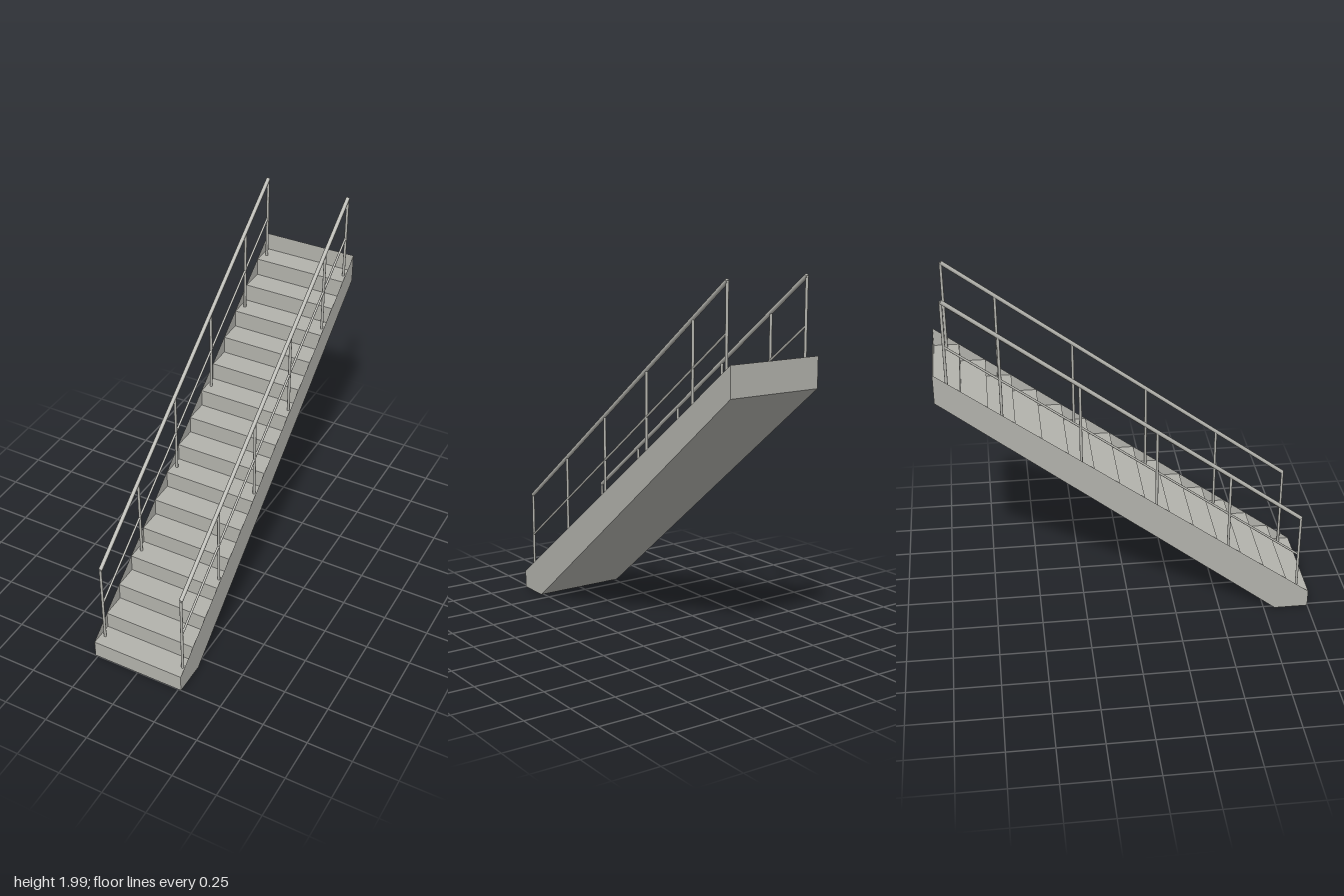
import * as THREE from 'three';

const HALF_W = 0.266;          // half width of the flight
const STEPS = 15, RISE = 0.1, RUN = 2 / STEPS;
const RAIL_X = 0.24;

// Underside corners shared by the step core and the side cheeks, as (z, y)
const UNDERSIDE = [[-1, 1.44], [0.813, 0], [1, 0]];

function shapeFrom(points) {
  return new THREE.Shape(points.map(([z, y]) => new THREE.Vector2(z, y)));
}

export function createModel() {
  const model = new THREE.Group();
  model.name = 'staircase';
  const concrete = new THREE.MeshStandardMaterial({ color: 0xb2b2ac, side: THREE.DoubleSide });
  concrete.name = 'warm grey';

  function add(parent, geometry, name) {
    const mesh = new THREE.Mesh(geometry, concrete);
    mesh.name = name;
    parent.add(mesh);
    return mesh;
  }

  // Round bar between two points
  function bar(parent, a, b, radius, name) {
    const dir = b.clone().sub(a);
    const mesh = add(parent, new THREE.CylinderGeometry(radius, radius, dir.length(), 12), name);
    mesh.position.copy(a).add(b).multiplyScalar(0.5);
    mesh.quaternion.setFromUnitVectors(new THREE.Vector3(0, 1, 0), dir.normalize());
  }

  // Solid flight with sawtooth top
  const profile = [...UNDERSIDE];
  for (let k = 0; k < STEPS; k++) {
    const y = (k + 1) * RISE;
    profile.push([1 - k * RUN, y], [1 - (k + 1) * RUN, y]);
  }
  const core = new THREE.ExtrudeGeometry(shapeFrom(profile), { depth: 2 * HALF_W - 0.002, bevelEnabled: false });
  core.rotateY(-Math.PI / 2).translate(HALF_W - 0.001, 0, 0);
  add(model, core, 'steps');

  // Last riser, closing the top end
  add(model, new THREE.PlaneGeometry(2 * HALF_W, RISE), 'topRiser').position.set(0, 1.55, -1);

  for (const side of [1, -1]) {
    const sideName = side > 0 ? 'left' : 'right';

    // Thin cheek running along the step noses
    const cheek = new THREE.ShapeGeometry(shapeFrom([...UNDERSIDE, [1, RISE], [-1, 1.6]]));
    cheek.rotateY(side * Math.PI / 2);
    if (side > 0) cheek.scale(1, 1, -1);
    // keep the faces pointing outward after the mirror
    if (side > 0) {
      const idx = cheek.index;
      for (let i = 0; i < idx.count; i += 3) {
        const t = idx.getX(i);
        idx.setX(i, idx.getX(i + 1));
        idx.setX(i + 1, t);
      }
    }
    cheek.computeVertexNormals();
    add(model, cheek, sideName + 'Cheek').position.x = side * HALF_W;

    // Railing: posts stand at the middle of their treads
    const railing = new THREE.Group();
    railing.name = sideName + 'Railing';
    model.add(railing);
    const point = (z, y) => new THREE.Vector3(side * RAIL_X, y, z);
    const railY = (z) => 0.583 + (0.9333 - z) * 0.75;
    for (const k of [0, 3, 6, 9, 12, 14]) {
      const z = 1 - (k + 0.5) * RUN;
      bar(railing, point(z, (k + 1) * RISE), point(z, railY(z)), 0.0075, 'post');
    }
    const z0 = 0.9333, z1 = -0.9333;
    bar(railing, point(z0, railY(z0)), point(z1, railY(z1)), 0.011, 'handrail');
    bar(railing, point(z0, railY(z0) - 0.243), point(z1, railY(z1) - 0.243), 0.006, 'midRail');
  }
  return model;
}
